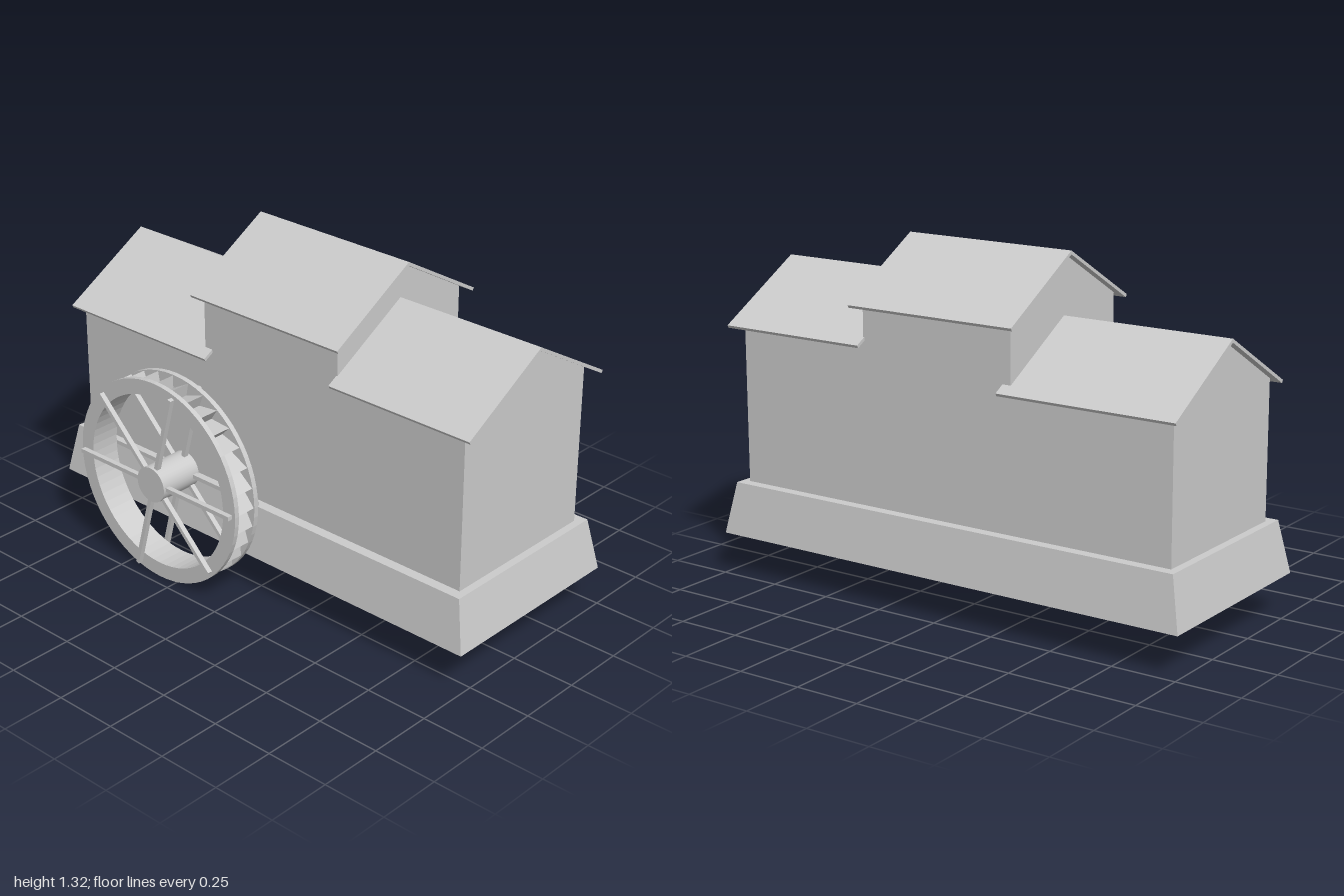
import * as THREE from 'three';

const MID_Z = -0.09; // ridge line of the building
const SLOPE = Math.tan(Math.PI / 6);
const grey = new THREE.MeshStandardMaterial({ color: 0xcccccc, side: THREE.DoubleSide });

function add(parent, name, geometry) {
  const mesh = new THREE.Mesh(geometry, grey);
  mesh.name = name;
  parent.add(mesh);
  return mesh;
}

const polygon = (pts) => new THREE.Shape(pts.map(([x, y]) => new THREE.Vector2(x, y)));

// Sweep a symmetric cross-section along x between x0 and x1
function sweepX(pts, x0, x1) {
  const g = new THREE.ExtrudeGeometry(polygon(pts), { depth: x1 - x0, bevelEnabled: false });
  return g.rotateY(Math.PI / 2).translate(x0, 0, MID_Z);
}

// Tapered plinth, hollow underneath
function plinthGeometry() {
  const g = new THREE.BoxGeometry(2, 0.2, 0.8);
  const p = g.attributes.position;
  for (let i = 0; i < p.count; i++) {
    if (p.getY(i) > 0) p.setXYZ(i, p.getX(i) * 0.96, 0.1, p.getZ(i) * 0.925);
  }
  const index = Array.from(g.index.array);
  index.splice(18, 6); // drop the bottom face
  g.setIndex(index);
  g.clearGroups();
  g.computeVertexNormals();
  return g.translate(0, 0.26, MID_Z);
}

// Gabled block with a thin pitched roof
function house(name, wall, roof, ridge) {
  const group = new THREE.Group();
  group.name = name;
  const w = 0.33, r = 0.372, t = 0.014;
  const under = ridge - t;
  const shoulder = under - w * SLOPE;
  add(group, 'walls', sweepX(
    [[-w, 0.36], [w, 0.36], [w, shoulder], [0, under], [-w, shoulder]], ...wall));
  const eave = ridge - r * SLOPE;
  const ex = r - 0.006, ey = under - ex * SLOPE;
  add(group, 'roof', sweepX(
    [[0, ridge], [-r, eave], [-ex, ey], [0, under], [ex, ey], [r, eave]], ...roof));
  return group;
}

function waterWheel() {
  const wheel = new THREE.Group();
  wheel.name = 'waterWheel';
  const outer = 0.405, inner = 0.345, teeth = 32;

  // Side rims
  const ring = new THREE.Shape().absarc(0, 0, outer, 0, Math.PI * 2);
  ring.holes.push(new THREE.Path().absarc(0, 0, inner, 0, Math.PI * 2, true));
  for (const z of [-0.06, 0.04]) {
    add(wheel, 'rim', new THREE.ExtrudeGeometry(ring,
      { depth: 0.02, bevelEnabled: false, curveSegments: 32 }).translate(0, 0, z));
  }

  // Saw-tooth buckets around the drum
  const pts = [];
  const polar = (r, a) => pts.push([r * Math.cos(a), r * Math.sin(a)]);
  for (let i = 0; i < teeth; i++) {
    const a = (i / teeth) * Math.PI * 2;
    polar(inner + 0.006, a);
    polar(outer - 0.003, a);
  }
  const saw = polygon(pts);
  saw.holes.push(new THREE.Path().absarc(0, 0, inner, 0, Math.PI * 2, true));
  add(wheel, 'buckets', new THREE.ExtrudeGeometry(saw,
    { depth: 0.08, bevelEnabled: false, curveSegments: 32 }).translate(0, 0, -0.04));

  // Hub and the spoke bars on both faces
  add(wheel, 'hub', new THREE.CylinderGeometry(0.07, 0.07, 0.18, 32).rotateX(Math.PI / 2));
  for (const z of [-0.07, 0.07]) {
    for (const degrees of [0, 75, 135]) {
      const spoke = add(wheel, 'spoke', new THREE.BoxGeometry(0.78, 0.016, 0.02));
      spoke.position.z = z;
      spoke.rotation.z = THREE.MathUtils.degToRad(degrees);
    }
  }
  wheel.position.set(-0.33, 0.408, 0.4);
  return wheel;
}

export function createModel() {
  const model = new THREE.Group();
  model.name = 'watermill';
  add(model, 'plinth', plinthGeometry());
  model.add(
    house('lowWing', [-0.93, -0.28], [-0.96, -0.245], 1.09),
    house('tallBlock', [-0.28, 0.365], [-0.31, 0.4], 1.325),
    house('middleWing', [0.365, 0.93], [0.36, 0.98], 1.182),
    waterWheel(),
  );
  return model;
}
